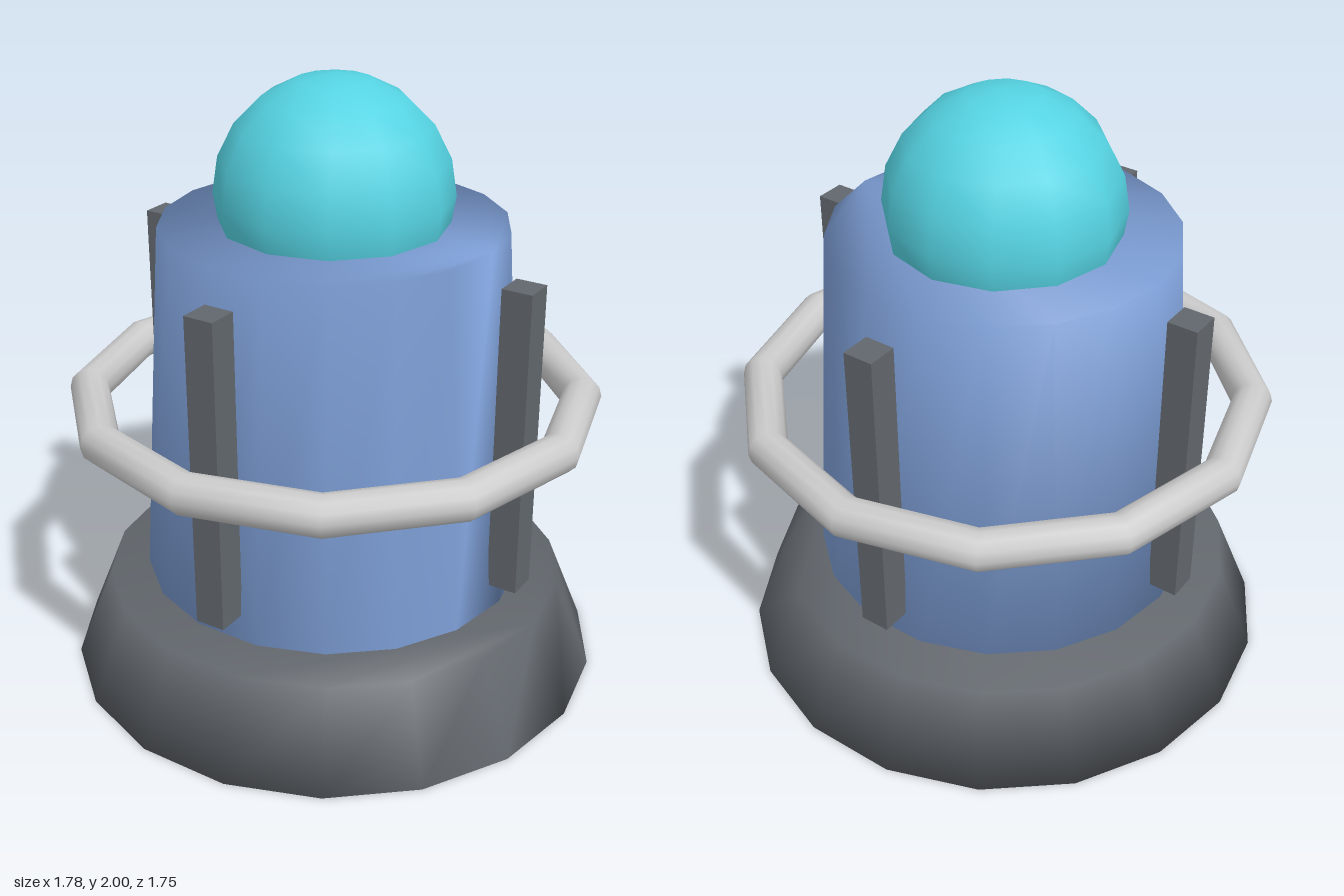
import * as THREE from 'three';

const material = (color) => new THREE.MeshStandardMaterial({ color });

// Closed tapered drum whose shading rolls softly over its rims
function taperedDrum(bottomRadius, topRadius, bottomY, topY, sides = 18) {
  const positions = [];
  const index = [];
  for (const [r, y] of [[bottomRadius, bottomY], [topRadius, topY]]) {
    for (let i = 0; i < sides; i++) {
      const a = (i / sides) * Math.PI * 2;
      positions.push(r * Math.cos(a), y, r * Math.sin(a));
    }
  }
  for (let i = 0; i < sides; i++) {
    const j = (i + 1) % sides;
    index.push(i, i + sides, j, j, i + sides, j + sides);
  }
  // Fan caps, bottom then top
  for (let i = 1; i < sides - 1; i++) {
    index.push(0, i, i + 1);
    index.push(sides, sides + i + 1, sides + i);
  }
  const geometry = new THREE.BufferGeometry();
  geometry.setAttribute('position', new THREE.Float32BufferAttribute(positions, 3));
  geometry.setIndex(index);
  geometry.computeVertexNormals();
  return geometry;
}

export function createModel() {
  const model = new THREE.Group();
  const darkGrey = material(0x62676d);

  function add(name, geometry, mat, x = 0, y = 0, z = 0) {
    const mesh = new THREE.Mesh(geometry, mat);
    mesh.name = name;
    mesh.position.set(x, y, z);
    model.add(mesh);
    return mesh;
  }

  // Flared foot and main housing, with a narrow gap between them
  add('base', taperedDrum(0.89, 0.765, 0, 0.31), darkGrey);
  add('body', taperedDrum(0.635, 0.555, 0.345, 1.535), material(0x7c9dd4));

  // Lamp dome, sunk into the top of the body
  add('dome', new THREE.SphereGeometry(0.38, 12, 10), material(0x55d3e2), 0, 1.62, 0);

  // Guard ring around the middle
  const ring = new THREE.TorusGeometry(0.81, 0.065, 12, 12);
  ring.rotateX(Math.PI / 2);
  add('guardRing', ring, material(0xcccccc), 0, 0.94, 0);

  // Four upright bars standing just outside the body
  const bar = new THREE.BoxGeometry(0.1, 1.02, 0.1);
  const places = { leftBar: [1, 0], rightBar: [-1, 0], frontBar: [0, 1], backBar: [0, -1] };
  for (const [name, [x, z]] of Object.entries(places)) {
    add(name, bar, darkGrey, x * 0.663, 0.94, z * 0.663);
  }

  return model;
}
